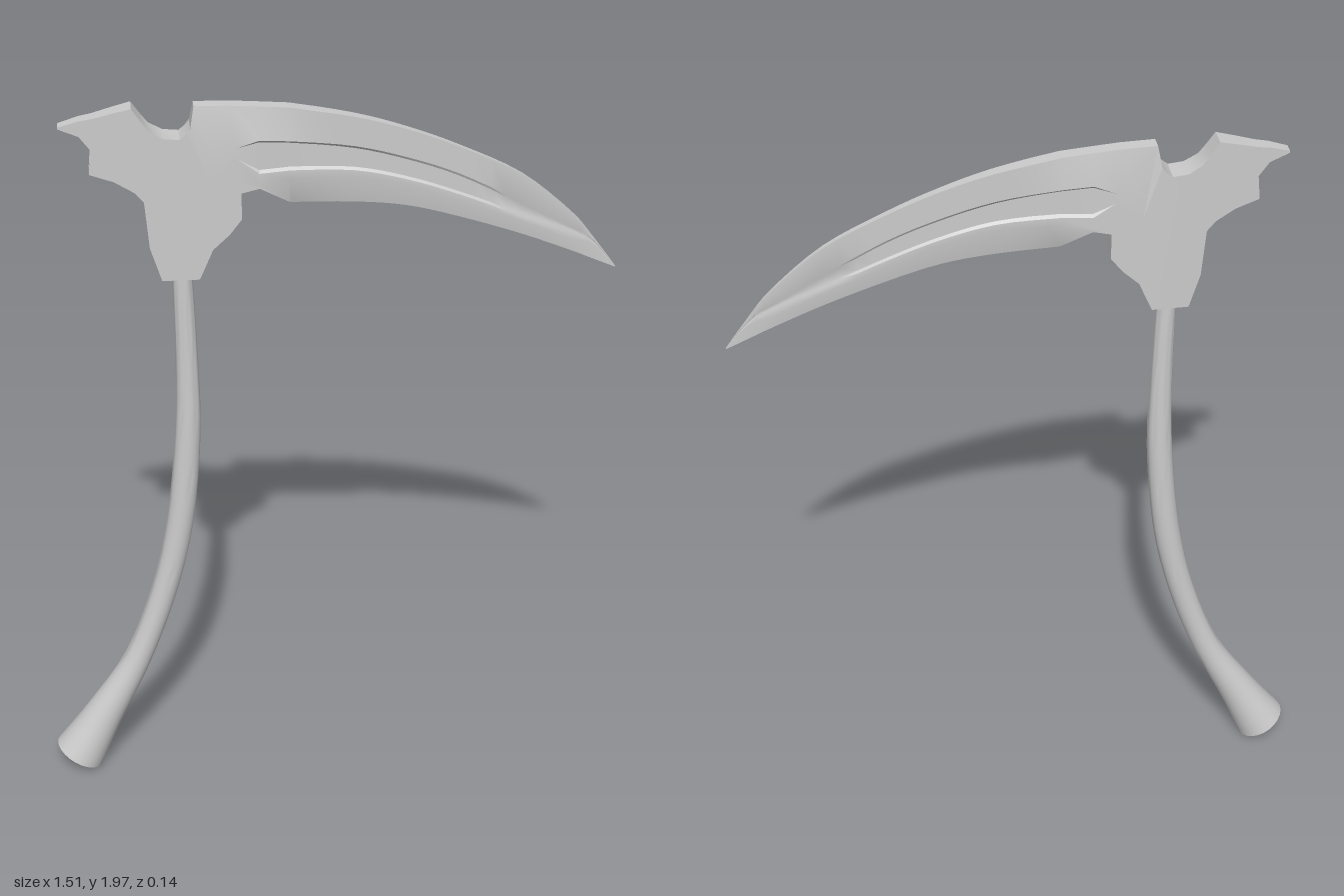
import * as THREE from 'three';
import { toCreasedNormals } from 'three/addons/utils/BufferGeometryUtils.js';

const { lerp } = THREE.MathUtils;

// Skin a list of closed rings (arrays of Vector3 of equal length)
function loft(rings, crease) {
  const n = rings[0].length, index = [];
  for (let i = 0; i < rings.length - 1; i++) {
    for (let j = 0; j < n; j++) {
      const a = i * n + j, b = i * n + (j + 1) % n;
      index.push(a, b, b + n, a, b + n, a + n);
    }
  }
  const g = new THREE.BufferGeometry().setFromPoints(rings.flat());
  g.setIndex(index);
  return toCreasedNormals(g, crease);
}

// Piecewise linear lookup in [x, value] pairs
function lookup(table, x) {
  for (let i = 1; i < table.length; i++) {
    const [x0, v0] = table[i - 1], [x1, v1] = table[i];
    if (x <= x1) return lerp(v0, v1, Math.max(0, (x - x0) / (x1 - x0)));
  }
  return table[table.length - 1][1];
}

// Smooth rows of numbers with a Catmull-Rom spline, column by column
function smoothRows(rows, steps) {
  const out = [], last = rows.length - 1;
  const curves = rows[0].map((_, c) => new THREE.SplineCurve(rows.map((r) => new THREE.Vector2(r[c], 0))));
  for (let k = 0; k <= last * steps; k++) out.push(curves.map((c) => c.getPoint(k / (last * steps)).x));
  return out;
}

// Half thickness of the head along x
const THICKNESS = [[-0.67, 0.015], [-0.49, 0.027], [-0.42, 0.034], [-0.2, 0.034],
  [-0.1, 0.025], [0, 0.017], [0.2, 0.011], [0.6, 0.005], [0.74, 0]];

// Head cross-section: spine, groove, bevel line and lower edge, mirrored in z
function headRing({ xt, xb, yt, yb, grooveTop, grooveBottom, bevel, depth, sharp }) {
  const wall = Math.min(0.007, (grooveTop - grooveBottom) * 0.3);
  const ys = [yt, grooveTop, grooveTop - wall, grooveBottom + wall, grooveBottom, bevel, yb];
  const side = ys.map((y, i) => {
    const f = yt === yb ? 0 : (yt - y) / (yt - yb);
    const x = lerp(xt, xb, f);
    let z = lookup(THICKNESS, x);
    if (i === 0 && x > -0.345) z = Math.min(z, 0.018);
    if (i === 2 || i === 3) z -= depth * Math.min(0.008, z * 0.4);
    if (i === 6 && sharp) z = Math.min(z, 0.001);
    return new THREE.Vector3(x, y, z);
  });
  const back = side.map((p) => new THREE.Vector3(p.x, p.y, -p.z)).reverse();
  return [...side, ...back];
}

function createHead() {
  // Hub with back spike, notch and socket: top x, top y, bottom x, bottom y
  const hub = [
    [-0.67, 1.955, -0.67, 1.95], [-0.62, 1.97, -0.62, 1.93], [-0.59, 1.975, -0.59, 1.89],
    [-0.585, 1.976, -0.6, 1.83], [-0.54, 1.988, -0.54, 1.81], [-0.49, 2, -0.49, 1.78],
    [-0.47, 1.97, -0.468, 1.755], [-0.45, 1.943, -0.458, 1.63], [-0.415, 1.922, -0.43, 1.54],
    [-0.375, 1.918, -0.335, 1.54], [-0.36, 1.93, -0.3, 1.62], [-0.348, 1.945, -0.257, 1.66],
    [-0.338, 1.998, -0.226, 1.7], [-0.25, 1.996, -0.226, 1.77],
  ].map(([xt, yt, xb, yb]) => headRing({
    xt, yt, xb, yb, depth: 0, sharp: false,
    grooveTop: lerp(yt, yb, 0.47), grooveBottom: lerp(yt, yb, 0.62), bevel: lerp(yt, yb, 0.9),
  }));

  // Curved blade: x, spine, groove top, groove bottom, bevel line, cutting edge
  const blade = smoothRows([
    [-0.103, 1.985, 1.9, 1.823, 1.8, 1.728],
    [0.06, 1.953, 1.876, 1.812, 1.794, 1.722],
    [0.193, 1.913, 1.839, 1.78, 1.765, 1.706],
    [0.325, 1.86, 1.789, 1.733, 1.717, 1.67],
    [0.484, 1.78, 1.706, 1.667, 1.653, 1.616],
    [0.616, 1.67, 1.632, 1.614, 1.595, 1.563],
    [0.675, 1.6, 1.59, 1.582, 1.574, 1.537],
    [0.74, 1.512, 1.511, 1.51, 1.509, 1.508],
  ], 4);
  blade.unshift([-0.18, 1.991, 1.907, 1.82, 1.79, 1.78]);
  const bladeRings = blade.map(([x, yt, grooveTop, grooveBottom, bevel, yb], i) => headRing({
    xt: x, xb: x, yt, yb, grooveTop, grooveBottom, bevel, depth: 1, sharp: i > 0,
  }));
  return loft([...hub, ...bladeRings], 0.45);
}

function createHandle() {
  // Curved round shaft that flares at the foot: centre x, centre y, radius
  const rows = smoothRows([
    [-0.712, 0.066, 0.072], [-0.635, 0.2, 0.052], [-0.535, 0.38, 0.037], [-0.455, 0.6, 0.035],
    [-0.405, 0.82, 0.036], [-0.378, 1.08, 0.034], [-0.374, 1.3, 0.029], [-0.379, 1.58, 0.025],
  ], 4);
  const sides = 24;
  const ring = (k, scale) => {
    const [x, y, r] = rows[k];
    const p = rows[Math.max(0, k - 1)], q = rows[Math.min(rows.length - 1, k + 1)];
    const t = new THREE.Vector2(q[0] - p[0], q[1] - p[1]).normalize();
    return Array.from({ length: sides }, (_, j) => {
      const a = (j / sides) * Math.PI * 2, c = Math.cos(a) * r * scale;
      return new THREE.Vector3(x - t.y * c, y + t.x * c, Math.sin(a) * r * scale);
    });
  };
  const rings = rows.map((_, k) => ring(k, 1));
  // Close both ends
  return loft([ring(0, 0.001), ...rings, ring(rows.length - 1, 0.001)], 0.7);
}

export function createModel() {
  const group = new THREE.Group();
  group.name = 'sickle';
  const material = new THREE.MeshStandardMaterial({ color: 0xcccccc });
  const add = (name, geometry) => {
    const mesh = new THREE.Mesh(geometry, material);
    mesh.name = name;
    group.add(mesh);
  };
  add('bladeHead', createHead());
  add('handle', createHandle());
  return group;
}
